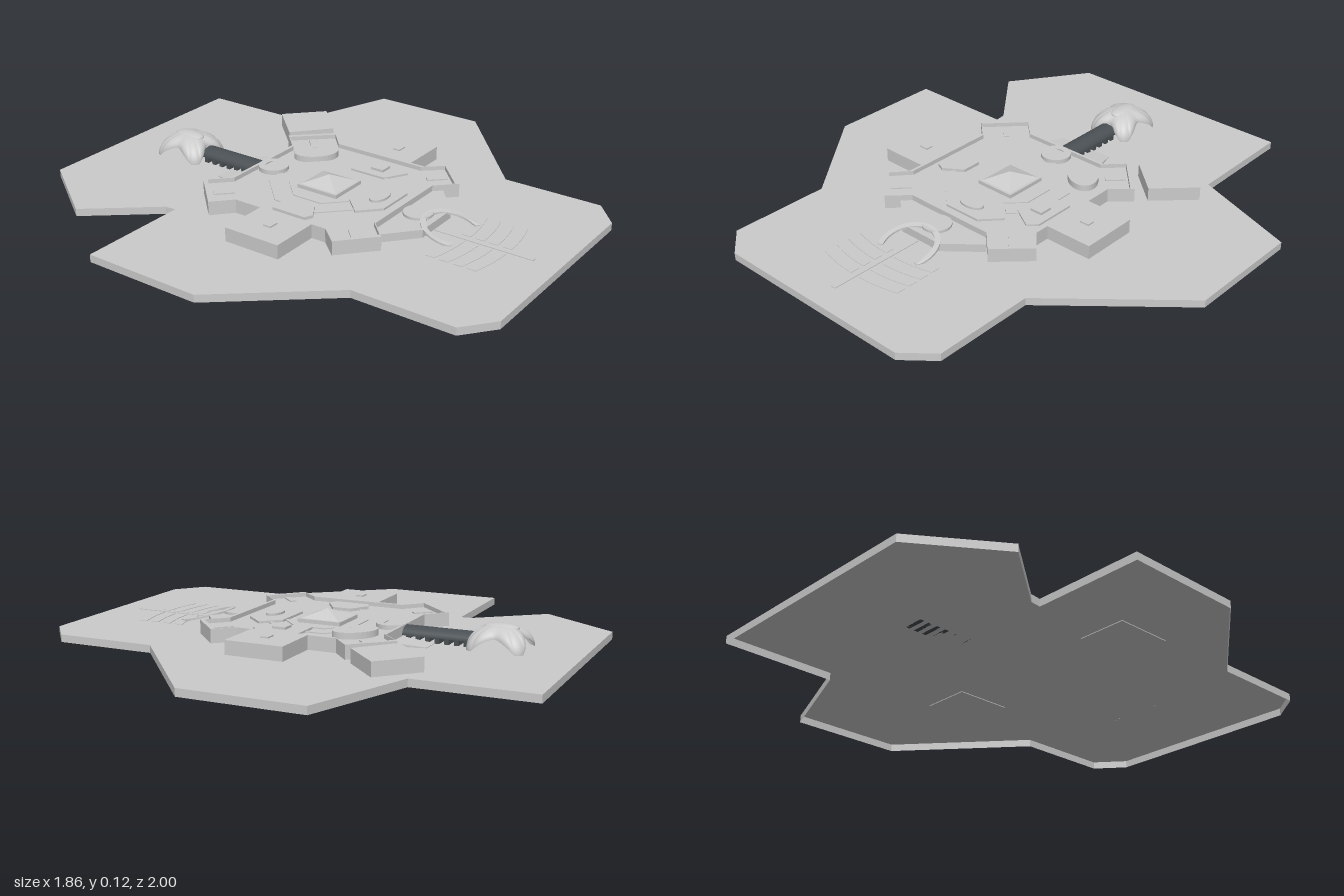
import * as THREE from 'three';
import { ParametricGeometry } from 'three/addons/geometries/ParametricGeometry.js';

const BASE = 0.027, GROUND = 0.03, FLOOR = 0.068, WALL = 0.085;

export function createModel() {
  const model = new THREE.Group();
  const grey = new THREE.MeshStandardMaterial({ color: 0xcccccc, flatShading: true });
  const sheet = new THREE.MeshStandardMaterial({ color: 0xcccccc, flatShading: true, side: THREE.DoubleSide });
  const smooth = new THREE.MeshStandardMaterial({ color: 0xcccccc, side: THREE.DoubleSide });
  const dark = new THREE.MeshStandardMaterial({ color: 0x4a5054, side: THREE.DoubleSide });

  const add = (name, geometry, material = grey) => {
    const mesh = new THREE.Mesh(geometry, material);
    mesh.name = name;
    model.add(mesh);
    return mesh;
  };
  // Plan outlines are given as [x, z] pairs
  const plan = (pts) => pts.map(([x, z]) => new THREE.Vector2(x, -z));
  const prism = (pts, y0, y1, hole) => {
    const shape = new THREE.Shape(plan(pts));
    if (hole) shape.holes.push(new THREE.Path(plan(hole)));
    return new THREE.ExtrudeGeometry(shape, { depth: y1 - y0, bevelEnabled: false })
      .rotateX(-Math.PI / 2).translate(0, y0, 0);
  };
  const rect = (x0, x1, z0, z1) => [[x0, z0], [x1, z0], [x1, z1], [x0, z1]];
  const oval = (cx, cz, rx, rz, turn = 0, n = 32) => Array.from({ length: n }, (_, i) => {
    const a = (i / n) * Math.PI * 2, x = rx * Math.cos(a), z = rz * Math.sin(a);
    return [cx + x * Math.cos(turn) - z * Math.sin(turn), cz + x * Math.sin(turn) + z * Math.cos(turn)];
  });

  // Ground: a top sheet with a skirt, open underneath
  const land = [
    [-0.49, -1], [0.493, -1], [0.497, -0.54], [0.93, -0.38], [0.93, 0.1], [0.468, 0.5],
    [0.468, 0.905], [0.355, 1], [-0.49, 1], [-0.605, 0.905], [-0.605, 0.5], [-0.93, 0.1],
    [-0.93, -0.38], [-0.49, -0.38], [-0.495, -0.425], [-0.705, -0.685],
  ];
  add('groundTop', new THREE.ShapeGeometry(new THREE.Shape(plan(land)))
    .rotateX(-Math.PI / 2).translate(0, GROUND, 0), sheet);
  const skirt = new THREE.BufferGeometry();
  skirt.setAttribute('position', new THREE.Float32BufferAttribute(land.flatMap(([x, z], i) => {
    const [nx, nz] = land[(i + 1) % land.length];
    return [x, 0, z, x, GROUND, z, nx, GROUND, nz, x, 0, z, nx, GROUND, nz, nx, 0, nz];
  }), 3));
  skirt.computeVertexNormals();
  add('groundSkirt', skirt, sheet);

  // Fortress platform with corner bastions and a thin parapet
  const fort = [
    [-0.24, -0.315], [-0.315, -0.39], [-0.455, -0.245], [-0.38, -0.175],
    [-0.38, 0.235], [-0.445, 0.31], [-0.315, 0.43], [-0.24, 0.355],
    [0.148, 0.355], [0.223, 0.43], [0.348, 0.31], [0.282, 0.235],
    [0.282, -0.175], [0.358, -0.245], [0.223, -0.39], [0.15, -0.315],
  ];
  const inner = fort.map(([x, z]) => [-0.048 + (x + 0.048) * 0.965, 0.02 + (z - 0.02) * 0.965]);
  add('platform', prism(inner, GROUND, FLOOR));
  add('parapet', prism(fort, GROUND, WALL, inner));

  // Low bars leading onto the bastions
  for (const [x, z, turn] of [[-0.335, -0.27, 0.78], [0.24, -0.275, -0.78],
    [-0.335, 0.325, -0.78], [0.24, 0.32, 0.78]]) {
    const bar = add('bastionBar', new THREE.BoxGeometry(0.025, 0.008, 0.08));
    bar.position.set(x, FLOOR + 0.001, z);
    bar.rotation.y = turn;
  }

  // Low octagonal terrace borders around the court
  const court = (r) => oval(-0.048, 0.02, r, r, Math.PI / 8, 8);
  for (const r of [0.165, 0.245]) {
    add('courtBorder', prism(court(r), FLOOR, FLOOR + 0.004, court(r - 0.013)));
  }

  // Central pyramid on a plinth
  add('plinth', prism(rect(-0.133, 0.034, -0.075, 0.105), FLOOR, 0.083));
  const pyramid = new THREE.ConeGeometry(Math.SQRT1_2, 0.034, 4).rotateY(Math.PI / 4).scale(0.15, 1, 0.165);
  add('pyramid', pyramid).position.set(-0.05, 0.099, 0.015);

  // Side halls and the detached rotated hall
  for (const [x0, x1, cx] of [[-0.578, -0.378, -0.47], [0.278, 0.478, 0.372]]) {
    add('sideHall', prism(rect(x0, x1, -0.06, 0.175), BASE, WALL));
    add('roofHatch', prism(rect(cx - 0.02, cx + 0.02, 0.043, 0.075), WALL, 0.091));
  }
  add('cornerHall', prism([[0.397, -0.56], [0.537, -0.423], [0.394, -0.283], [0.252, -0.408]], GROUND, WALL));

  // Buildings inside the parapet
  add('rightHouse', prism([[-0.343, -0.03], [-0.308, -0.045], [-0.233, 0], [-0.233, 0.08],
    [-0.308, 0.13], [-0.343, 0.115]], FLOOR, 0.08));
  add('leftHouse', prism([[0.117, 0], [0.242, 0], [0.242, 0.175], [0.207, 0.208], [0.117, 0.155]], FLOOR, 0.076));
  add('leftHouseRoof', prism(rect(0.155, 0.208, 0.07, 0.125), 0.076, 0.086));
  add('frontHouse', prism([[-0.188, 0.23], [-0.118, 0.157], [0.057, 0.157], [0.122, 0.23],
    [0.052, 0.305], [-0.108, 0.305]], FLOOR, 0.077));
  add('frontHouseRing', prism(oval(-0.038, 0.24, 0.055, 0.032), 0.077, 0.086, oval(-0.038, 0.24, 0.048, 0.026)));

  // Round and oval towers with sunken tops
  const tower = (name, cx, cz, rx, rz, turn, top) => {
    const hole = oval(cx, cz, rx * 0.55, rz * 0.55, turn);
    add(name + 'Floor', prism(hole, FLOOR, top - 0.01));
    add(name, prism(oval(cx, cz, rx, rz, turn), FLOOR, top, hole));
  };
  tower('roundTower', -0.048, -0.255, 0.06, 0.06, 0, 0.086);
  tower('ovalTower', 0.146, -0.19, 0.09, 0.06, 0.75, 0.093);

  // Lets the top (and, for thin bands, the underside) fall along z
  const slope = (geometry, z0, y0, z1, y1, thickness = 0) => {
    const p = geometry.attributes.position;
    for (let i = 0; i < p.count; i++) {
      const isTop = p.getY(i) > GROUND + 0.001;
      if (!isTop && !thickness) continue;
      const t = THREE.MathUtils.clamp((p.getZ(i) - z0) / (z1 - z0), 0, 1);
      p.setY(i, y0 + (y1 - y0) * t - (isTop ? 0 : thickness));
    }
    geometry.computeVertexNormals();
    return geometry;
  };

  // Gentle back ramp from the wall to the ground
  const ramp = prism([[-0.205, -0.315], [0.107, -0.315], [0.073, -0.445], [-0.168, -0.445]], GROUND, 0.05);
  add('backRamp', slope(ramp, -0.315, 0.046, -0.445, 0.032));

  // Dark vaulted bridge on rows of posts
  const vault = new THREE.CylinderGeometry(0.043, 0.043, 0.275, 24, 1, false, Math.PI / 2, Math.PI)
    .rotateX(Math.PI / 2).scale(1, 0.75, 1);
  add('bridge', vault, dark).position.set(-0.05, 0.05, -0.4525);
  for (let i = 0; i < 7; i++) {
    add('bridgePost', new THREE.BoxGeometry(0.084, 0.022, 0.018), dark)
      .position.set(-0.05, 0.041, -0.34 - i * 0.038);
  }

  // Four-legged canopy: a rounded square dome whose rim rises in an arch on each side
  const canopy = new ParametricGeometry((u, v, target) => {
    const a = u * Math.PI * 2, b = v * Math.PI / 2;
    const corner = Math.sin(2 * a) ** 2;
    const rim = GROUND + 0.048 * Math.max(0, 1 - corner / 0.88) ** 0.5;
    const r = (0.08 + 0.047 * corner) * Math.sin(b);
    target.set(r * Math.cos(a), rim + (0.122 - rim) * Math.cos(b), r * Math.sin(a) * 1.1);
  }, 96, 20);
  add('canopy', canopy, smooth).position.set(-0.05, 0, -0.688);
  const crown = new THREE.SphereGeometry(1, 24, 12).scale(0.04, 0.016, 0.068);
  add('canopyCrown', crown, smooth).position.set(-0.05, 0.109, -0.69);

  // Front outwork with a round turret
  add('outwork', prism([[-0.273, 0.387], [-0.24, 0.355], [0.148, 0.355], [0.177, 0.387],
    [0.047, 0.497], [-0.148, 0.497]], GROUND, 0.062));
  add('turret', prism(oval(-0.048, 0.415, 0.057, 0.057), GROUND, 0.072));

  // Thin horseshoe canopy tilted down towards the front
  const arc = (r, n = 28) => Array.from({ length: n + 1 }, (_, i) => {
    const a = Math.PI * (-1.17 + (1.34 * i) / n);
    return [-0.048 + r * Math.cos(a), 0.56 + r * Math.sin(a)];
  });
  const gallery = prism([...arc(0.117), ...arc(0.096).reverse()], GROUND, 0.08);
  add('gallery', slope(gallery, 0.44, 0.076, 0.605, 0.036, 0.008));

  // Processional path and curved, almost flush steps beside it
  add('path', prism(rect(-0.075, -0.055, 0.5, 0.9), GROUND, 0.033));
  for (const side of [-1, 1]) for (let row = 0; row < 4; row++) {
    const edge = (dz) => [0, 0.25, 0.5, 0.75, 1].map((t) =>
      [-0.065 + side * (0.02 + 0.17 * t), 0.6 + row * 0.055 + dz - 0.025 * t * t]);
    add('step', prism([...edge(0), ...edge(0.035).reverse()], GROUND, 0.032));
  }
  return model;
}
